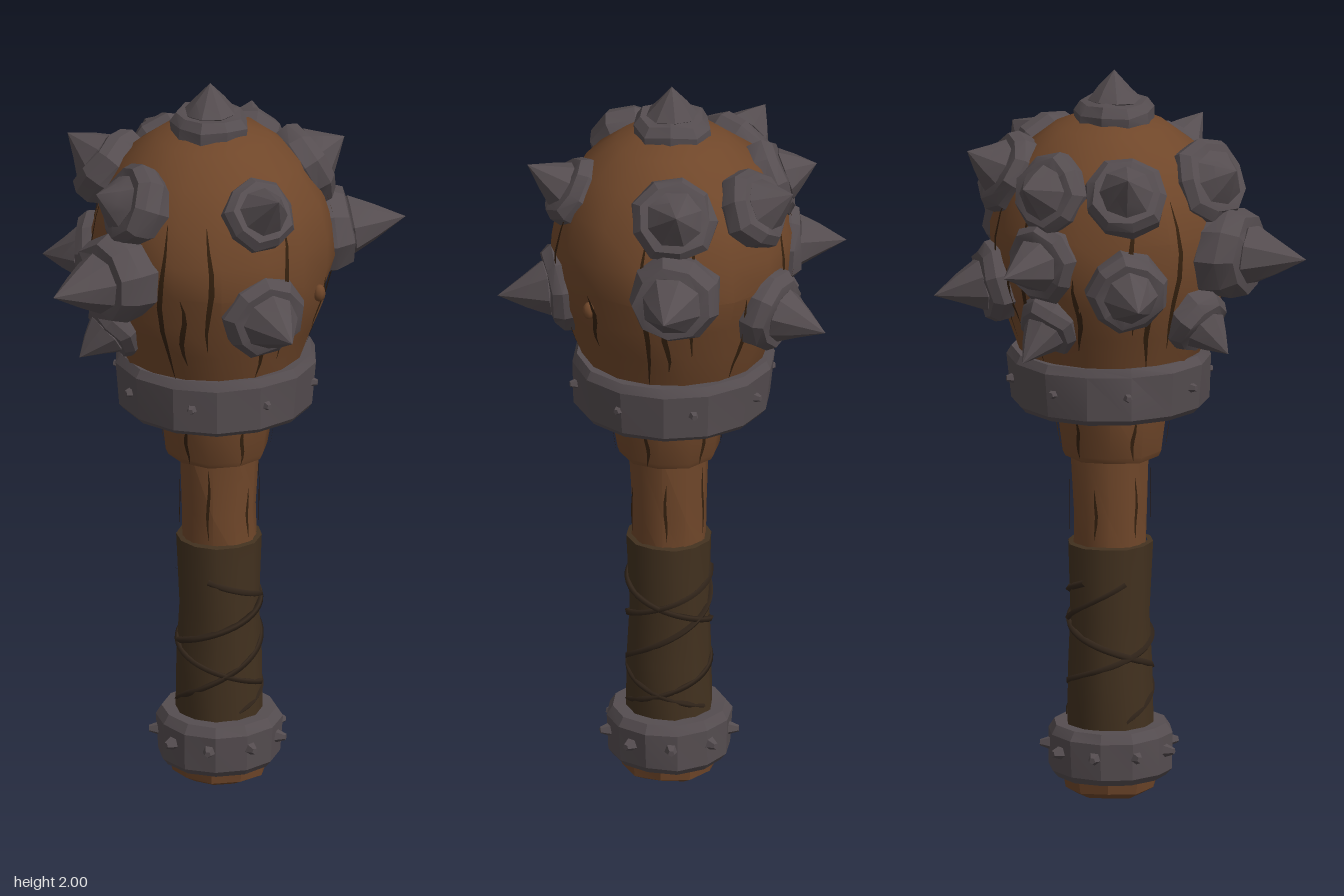
import * as THREE from 'three';
import { toCreasedNormals } from 'three/addons/utils/BufferGeometryUtils.js';

const material = (name, color, side = THREE.FrontSide) => {
  const m = new THREE.MeshStandardMaterial({ color, side });
  m.name = name;
  return m;
};

// Head outline as [radius, height]
const HEAD = [[0.22, 1.16], [0.245, 1.24], [0.275, 1.32], [0.305, 1.41], [0.325, 1.5], [0.322, 1.59],
  [0.295, 1.69], [0.24, 1.78], [0.15, 1.85], [0.07, 1.88], [0, 1.885]];
const HANDLE_X = 0.022;

const headRadius = (y) => {
  for (let i = 1; i < HEAD.length; i++) {
    const [r0, y0] = HEAD[i - 1], [r1, y1] = HEAD[i];
    if (y <= y1) return r0 + (r1 - r0) * (y - y0) / (y1 - y0);
  }
  return 0;
};

// Lathe with hand-carved wobble; the wobble depends on position so seams stay closed
function carved(points, sides, wobble, crease) {
  const geo = new THREE.LatheGeometry(points.map(([r, y]) => new THREE.Vector2(r, y)), sides);
  const p = geo.attributes.position;
  for (let i = 0; i < p.count; i++) {
    const x = p.getX(i), y = p.getY(i), z = p.getZ(i);
    const k = 1 + wobble * Math.sin(x * 37 + y * 23 + z * 51);
    p.setXYZ(i, x * k, y + wobble * 0.1 * Math.sin(x * 29 - z * 41), z * k);
  }
  return toCreasedNormals(geo, crease);
}

// Thin tapered sliver lying on a round surface of the given radius rule
function sliver(radiusAt, angle, y0, y1, width) {
  const pos = [], index = [], n = 6;
  for (let i = 0; i <= n; i++) {
    const t = i / n, y = y0 + (y1 - y0) * t, r = radiusAt(y) + 0.005;
    const a = angle + 0.025 * Math.sin(t * 7 + angle * 5);
    const half = (width * (0.1 + Math.sin(Math.PI * t))) / (2 * r);
    for (const s of [-half, half]) pos.push(Math.sin(a + s) * r, y, Math.cos(a + s) * r);
    if (i < n) index.push(2 * i, 2 * i + 1, 2 * i + 2, 2 * i + 1, 2 * i + 3, 2 * i + 2);
  }
  const geo = new THREE.BufferGeometry();
  geo.setAttribute('position', new THREE.Float32BufferAttribute(pos, 3));
  geo.setIndex(index);
  geo.computeVertexNormals();
  return geo;
}

export function createModel() {
  const wood = material('wood', 0x70472a);
  const crackDark = material('dark wood crack', 0x35210f, THREE.DoubleSide);
  const metal = material('dark iron', 0x554d50);
  const leather = material('leather', 0x42311f);
  const leatherDark = material('leather strap', 0x33261b);

  const model = new THREE.Group();
  model.name = 'spikedClub';
  const add = (name, geo, mat, x = 0, y = 0, z = 0, parent = model) => {
    const mesh = new THREE.Mesh(geo, mat);
    mesh.name = name;
    mesh.position.set(x, y, z);
    parent.add(mesh);
    return mesh;
  };

  // Wooden head, neck, grip and butt
  add('head', carved(HEAD, 16, 0.018, 0.6), wood, 0.008);
  add('neck', carved([[0.09, 0.945], [0.13, 0.94], [0.137, 0.955], [0.158, 1.1], [0.158, 1.18]], 10, 0.02, 0.7),
    wood, 0.015, 0, 0.012);
  add('shaft', carved([[0.1, 0.66], [0.1, 0.78], [0.108, 0.96]], 10, 0.02, 0.7), wood, HANDLE_X, 0, 0.01);
  add('butt', carved([[0, 0.008], [0.09, 0.006], [0.125, 0.025], [0.135, 0.08]], 10, 0.02, 0.5), wood, HANDLE_X, 0, 0.01);

  // Leather wrap with crossing straps
  add('leatherWrap', carved([[0.1, 0.7], [0.115, 0.697], [0.108, 0.5], [0.112, 0.35], [0.118, 0.18]].reverse(),
    12, 0.02, 0.7), leather, HANDLE_X, 0, 0.01);
  for (const [turns, phase, dir] of [[1.5, 0, 1], [1.5, 2.4, -1], [1, 4.2, 1]]) {
    const path = [];
    for (let i = 0; i <= 28; i++) {
      const a = phase + dir * turns * Math.PI * 2 * i / 28;
      path.push(new THREE.Vector3(Math.sin(a) * 0.11, 0.22 + 0.38 * i / 28, Math.cos(a) * 0.11));
    }
    add('leatherStrap', new THREE.TubeGeometry(new THREE.CatmullRomCurve3(path), 56, 0.009, 4), leatherDark, HANDLE_X, 0, 0.01);
  }

  // Iron collar and pommel ring, each with rivets
  add('collar', carved([[0.14, 1.085], [0.25, 1.08], [0.264, 1.095], [0.272, 1.215], [0.26, 1.238], [0.21, 1.235]],
    14, 0.012, 0.4), metal, 0.016);
  add('pommelRing', carved([[0.1, 0.06], [0.15, 0.057], [0.165, 0.075], [0.168, 0.175], [0.152, 0.2], [0.1, 0.2]],
    12, 0.015, 0.4), metal, HANDLE_X, 0, 0.01);
  const rivets = (name, count, ring, y, x, z, size) => {
    for (let i = 0; i < count; i++) {
      const a = (i + 0.1) / count * Math.PI * 2;
      const geo = toCreasedNormals(new THREE.CylinderGeometry(size * 0.4, size, 0.035, 5), 0.3);
      const rivet = add(name, geo, metal, x + Math.sin(a) * ring, y, z + Math.cos(a) * ring);
      rivet.rotation.set(Math.PI / 2, 0, -a, 'YXZ');
      rivet.rotation.y = a;
      rivet.rotation.z = 0;
    }
  };
  rivets('collarRivet', 8, 0.262, 1.16, 0.016, 0, 0.02);
  rivets('pommelRivet', 9, 0.17, 0.135, HANDLE_X, 0.01, 0.022);

  // Spikes: [tip, seat on the head, seat radius]
  const spikes = [
    [[0, 2, 0], [0, 1.87, 0], 0.105],
    [[-0.54, 1.535, 0.145], [-0.3, 1.53, 0.08], 0.122],
    [[0.535, 1.55, 0.095], [0.3, 1.53, 0.03], 0.122],
    [[0.01, 1.42, 0.47], [0.01, 1.44, 0.29], 0.118],
    [[0.01, 1.8, 0.39], [0.01, 1.71, 0.26], 0.1],
    [[0.38, 1.79, 0.04], [0.26, 1.73, 0.03], 0.115],
    [[-0.37, 1.77, 0.06], [-0.26, 1.72, 0.07], 0.115],
    [[0, 1.52, -0.47], [0, 1.53, -0.29], 0.11],
    [[0, 1.75, -0.39], [0, 1.71, -0.26], 0.11],
    [[-0.28, 1.8, -0.29], [-0.2, 1.72, -0.2], 0.11],
    [[0.27, 1.79, -0.29], [0.2, 1.72, -0.19], 0.11],
    [[-0.34, 1.45, -0.32], [-0.22, 1.47, -0.22], 0.11],
    [[0.32, 1.4, -0.37], [0.21, 1.43, -0.23], 0.11],
    [[0, 1.27, -0.39], [0, 1.36, -0.26], 0.09],
    [[-0.39, 1.28, 0], [-0.27, 1.36, 0], 0.095],
  ];
  const up = new THREE.Vector3(0, 1, 0);
  spikes.forEach(([tip, seat, r], i) => {
    const from = new THREE.Vector3(...seat);
    const axis = new THREE.Vector3(...tip).sub(from);
    const length = axis.length(), h = length > 0.2 ? 0.085 : 0.045;
    const group = new THREE.Group();
    group.name = 'spike';
    group.position.copy(from);
    group.quaternion.setFromUnitVectors(up, axis.normalize());
    group.rotateY(i * 1.3);
    model.add(group);
    add('spikeSeat', carved([[r * 0.8, -0.06], [r, -0.02], [r, h * 0.45], [r * 0.84, h], [r * 0.62, h * 1.05], [0, h * 0.9]],
      9, 0.05, 0.4), metal, 0, 0, 0, group);
    add('spikePoint', carved([[r * 0.5, h * 0.8], [r * 0.67, h * 1.1], [r * 0.4, h * 1.1 + (length - h * 1.1) * 0.42], [0, length]],
      8, 0.03, 0.5), metal, 0, 0, 0, group);
  });

  // Cracks between the planks of head and shaft
  for (let i = 0; i < 18; i++) {
    const a = i * Math.PI / 9 + 0.15 * Math.sin(i * 4.7);
    const low = 1.24 + 0.05 * (i % 3), high = 1.5 + 0.1 * ((i * 2) % 4);
    add('headCrack', sliver(headRadius, a, low, high, 0.014), crackDark, 0.008);
  }
  for (let i = 0; i < 6; i++) {
    add('shaftCrack', sliver(() => 0.104, i * 1.05 + 0.3, 0.72, 0.86 + 0.03 * (i % 3), 0.008), crackDark, HANDLE_X, 0, 0.01);
    add('neckCrack', sliver((y) => 0.135 + (y - 0.95) * 0.16, i * 1.05, 0.95, 1.07, 0.01), crackDark, 0.015, 0, 0.012);
  }

  // Small knot in the wood
  const knot = add('woodKnot', new THREE.SphereGeometry(0.022, 8, 6), wood, 0.2, 1.45, 0.25);
  knot.scale.set(0.8, 1.1, 0.8);

  return model;
}
